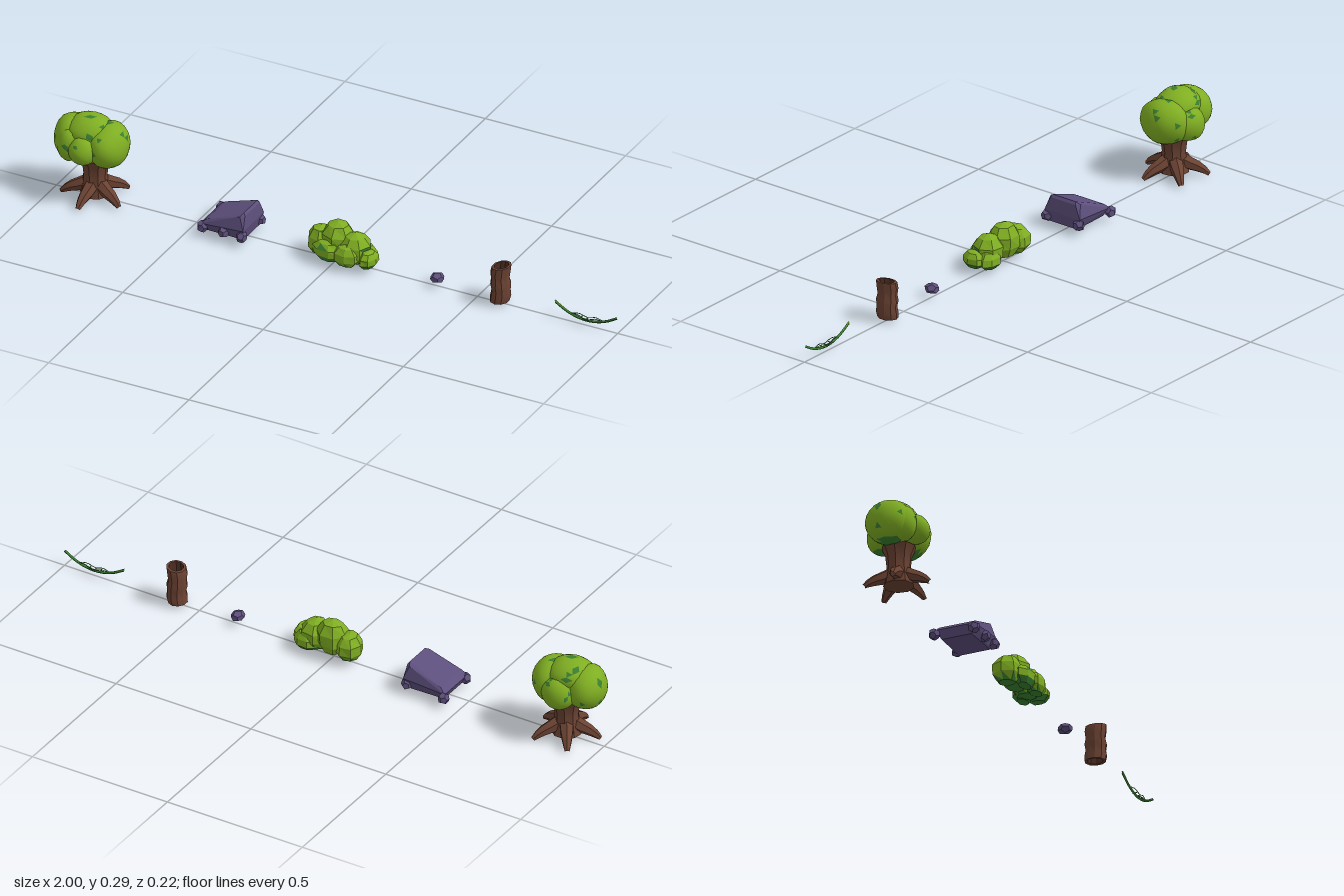
import * as THREE from 'three';
import { mergeVertices, toCreasedNormals } from 'three/addons/utils/BufferGeometryUtils.js';
import { ConvexGeometry } from 'three/addons/geometries/ConvexGeometry.js';

const mat = (name, color) => Object.assign(new THREE.MeshStandardMaterial({ color }), { name });
const V = (x, y, z) => new THREE.Vector3(x, y, z);

// Smooth repeatable noise in -1..1, based on position
const noise = (x, y, z) => Math.sin(x * 3.1 + y * 1.7 + 0.4) * Math.cos(z * 2.9 - y * 2.3 + x) ;

// Apply a rule to every vertex
function warp(geo, rule) {
  const p = geo.attributes.position, v = V();
  for (let i = 0; i < p.count; i++) {
    v.fromBufferAttribute(p, i);
    rule(v, i);
    p.setXYZ(i, v.x, v.y, v.z);
  }
  return geo;
}

// Sort triangles into two material groups by their centre
function paint(geo, isDark) {
  const p = geo.attributes.position, idx = geo.index ? geo.index.array : [...Array(p.count).keys()];
  const parts = [[], []];
  for (let i = 0; i < idx.length; i += 3) {
    const c = V();
    for (let k = 0; k < 3; k++) c.add(V().fromBufferAttribute(p, idx[i + k]));
    c.divideScalar(3);
    parts[isDark(c) ? 1 : 0].push(idx[i], idx[i + 1], idx[i + 2]);
  }
  geo.setIndex([...parts[0], ...parts[1]]);
  geo.addGroup(0, parts[0].length, 0);
  geo.addGroup(parts[0].length, parts[1].length, 1);
  return geo;
}

// Tube along points whose radius follows a function of 0..1
function taperTube(points, radius, steps, sides) {
  const curve = new THREE.CatmullRomCurve3(points);
  const geo = new THREE.TubeGeometry(curve, steps, 1, sides);
  warp(geo, (v, i) => {
    const t = Math.floor(i / (sides + 1)) / steps, c = curve.getPointAt(t);
    v.sub(c).multiplyScalar(radius(t)).add(c);
  });
  geo.computeVertexNormals();
  return geo;
}

export function createModel() {
  const leaf = mat('leafGreen', 0x7fae22), moss = mat('darkGreen', 0x3a8030);
  const bark = mat('bark', 0x6b4232), darkBark = mat('darkBark', 0x4c2d22);
  const stone = mat('purpleStone', 0x5d4f7c);
  const model = new THREE.Group();
  model.name = 'forestSet';

  const group = (name) => {
    const g = new THREE.Group();
    g.name = name;
    model.add(g);
    return g;
  };
  const add = (parent, name, geo, material) => {
    const m = new THREE.Mesh(geo, material);
    m.name = name;
    parent.add(m);
    return m;
  };

  // Tree: trunk, five arched roots, clustered crown
  const tree = group('tree');
  const trunk = new THREE.LatheGeometry(
    [[0, 0.012], [0.05, 0.012], [0.043, 0.045], [0.039, 0.08], [0.043, 0.115], [0.056, 0.145], [0, 0.16]]
      .map(([r, y]) => new THREE.Vector2(r, y)), 9);
  warp(trunk, (v) => { v.x -= 0.862; });
  add(tree, 'trunk', toCreasedNormals(trunk, 0.6), bark);
  for (let k = 0; k < 5; k++) {
    const a = THREE.MathUtils.degToRad(21 + 72 * k), c = Math.cos(a), s = Math.sin(a);
    const path = [[0.015, 0.055], [0.05, 0.038], [0.085, 0.024], [0.112, 0.004]]
      .map(([r, y]) => V(-0.86 + r * c, y, r * s));
    const root = taperTube(path, (t) => 0.024 - 0.016 * t * t, 5, 6);
    warp(root, (v) => { v.y = Math.max(v.y, 0); });
    add(tree, 'root', toCreasedNormals(root, 0.6), bark);
  }
  const crown = [ // centre, radii
    [-0.938, 0.202, 0.0, 0.062, 0.074, 0.075],
    [-0.815, 0.197, 0.0, 0.066, 0.075, 0.084],
    [-0.872, 0.192, 0.064, 0.046, 0.048, 0.046],
    [-0.925, 0.195, 0.04, 0.048, 0.06, 0.05],
    [-0.865, 0.187, -0.058, 0.058, 0.056, 0.046],
    [-0.88, 0.232, 0.0, 0.08, 0.057, 0.072],
  ];
  crown.forEach(([x, y, z, rx, ry, rz], n) => {
    let geo = new THREE.IcosahedronGeometry(1, 3);
    geo.deleteAttribute('uv');
    geo.deleteAttribute('normal');
    geo = mergeVertices(geo, 1e-3);
    warp(geo, (v) => {
      v.multiplyScalar(1 + 0.04 * noise(v.x + n, v.y, v.z));
      v.y = THREE.MathUtils.clamp(v.y, -0.9, 0.97);
      v.set(x + v.x * rx, y + v.y * ry, z + v.z * rz);
    });
    geo.computeVertexNormals();
    paint(geo, (c) => c.y < 0.14 || noise(c.x * 22 + n, c.y * 22, c.z * 22) > 0.86);
    add(tree, 'crownLobe', geo, [leaf, moss]);
  });

  // Sloping boulder with small stones at its corners
  const boulder = group('slopedBoulder');
  const hull = [];
  for (const s of [-1, 1]) {
    hull.push(
      V(-0.432, 0.062, s * 0.062), V(-0.452, 0.045, s * 0.07), V(-0.438, 0.016, s * 0.052),
      V(-0.308, 0.109, s * 0.045), V(-0.302, 0.1, s * 0.05), V(-0.298, 0.055, s * 0.071),
      V(-0.305, 0.016, s * 0.055), V(-0.315, 0.1, s * 0.06));
  }
  add(boulder, 'boulderBody', new ConvexGeometry(hull), stone);

  const pebble = (parent, name, x, y, z, rx, ry, rz, turn) => {
    const geo = new THREE.DodecahedronGeometry(1, 0);
    geo.rotateY(turn);
    warp(geo, (v) => {
      v.multiplyScalar(1 + 0.08 * noise(v.x + turn, v.y, v.z));
      v.set(x + v.x * rx, y + v.y * ry, z + v.z * rz);
    });
    geo.computeVertexNormals();
    add(parent, name, geo, stone);
  };
  [[-0.45, -0.072], [-0.306, -0.06], [-0.305, 0.067], [-0.446, 0.064], [-0.37, 0.066]].forEach(([x, z], i) =>
    pebble(boulder, 'cornerStone', x, 0.033, z, 0.019, 0.02, 0.02, i * 0.9));

  // Single small stone
  pebble(group('smallStone'), 'stone', 0.357, 0.03, 0, 0.024, 0.017, 0.025, 0.5);

  // Faceted bush
  const bush = group('bush');
  const clumps = [
    [-0.058, 0.058, -0.005, 0.045, 0.05, 0.048],
    [0.002, 0.076, -0.005, 0.056, 0.06, 0.05],
    [0.068, 0.062, 0.004, 0.052, 0.052, 0.052],
    [0.122, 0.043, 0.018, 0.03, 0.03, 0.042],
    [-0.015, 0.046, 0.036, 0.052, 0.036, 0.03],
    [0.055, 0.048, 0.042, 0.045, 0.038, 0.031],
    [0.09, 0.04, -0.02, 0.045, 0.036, 0.03],
  ];
  clumps.forEach(([x, y, z, rx, ry, rz], n) => {
    let geo = new THREE.SphereGeometry(1, 7, 5);
    geo.rotateY(n * 0.7);
    warp(geo, (v) => {
      v.multiplyScalar(1.03 + 0.06 * noise(v.x + n, v.y, v.z));
      v.set(x + v.x * rx, Math.max(0.014, y + v.y * ry), z + v.z * rz);
    });
    geo = geo.toNonIndexed();
    geo.computeVertexNormals();
    paint(geo, (c) => c.y < 0.029 || noise(c.x * 30, c.y * 30, c.z * 30) > 0.9);
    add(bush, 'clump', geo, [leaf, moss]);
  });

  // Hollow, slightly bent log
  const log = group('hollowLog');
  const bend = (geo) => warp(geo, (v) => {
    const t = v.y / 0.14;
    v.z *= 1.13;
    v.y += t * v.x * 0.15;
    v.x += 0.577 + 0.011 * t + 0.004 * Math.sin(t * 6);
  });
  const lathe = (pts) => toCreasedNormals(
    bend(new THREE.LatheGeometry(pts.map(([r, y]) => new THREE.Vector2(r, y)), 10)), 0.5);
  add(log, 'outerBark', lathe([[0.023, 0.011], [0.031, 0.01], [0.033, 0.03], [0.03, 0.05], [0.033, 0.07],
    [0.029, 0.09], [0.032, 0.115], [0.031, 0.136], [0.023, 0.137]]), bark);
  add(log, 'innerWall', lathe([[0.023, 0.137], [0.022, 0.075], [0.023, 0.011]]), darkBark);

  // Sagging vine with a thin strand and paired leaves
  const vine = group('vine');
  const sag = (x) => 0.018 + 3.1 * (x - 0.89) ** 2;
  const xs = [0.779, 0.82, 0.855, 0.89, 0.925, 0.96, 0.999];
  add(vine, 'mainStem', taperTube(xs.map((x) => V(x, sag(x), 0)), () => 0.0042, 20, 6), moss);
  for (const s of [-1, 1]) {
    add(vine, 'strand', taperTube(
      [V(0.83, sag(0.83), 0), V(0.86, 0.033, s * 0.005), V(0.89, 0.024, s * 0.008),
        V(0.92, 0.033, s * 0.005), V(0.95, sag(0.95), 0)], () => 0.0013, 14, 5), moss);
  }
  const tip = [V(0.777, sag(0.777) + 0.003, 0), V(0.79, sag(0.79) + 0.003, 0), V(0.805, sag(0.805) + 0.003, 0)];
  add(vine, 'stemTip', taperTube(tip, () => 0.0026, 4, 6), leaf);
  const leafMat = moss.clone();
  leafMat.side = THREE.DoubleSide;
  const blade = new THREE.Shape();
  blade.moveTo(0, 0);
  blade.quadraticCurveTo(0.006, 0.006, 0, 0.014);
  blade.quadraticCurveTo(-0.006, 0.006, 0, 0);
  const bladeGeo = new THREE.ShapeGeometry(blade, 4).rotateX(Math.PI / 2);
  for (const x of [0.865, 0.885, 0.905]) for (const s of [-1, 1]) {
    const m = add(vine, 'vineLeaf', bladeGeo, leafMat);
    m.position.set(x, sag(x), 0);
    m.rotation.set(-0.4 * s, s > 0 ? 0.4 : Math.PI - 0.4, 0, 'XYZ');
  }
  return model;
}
